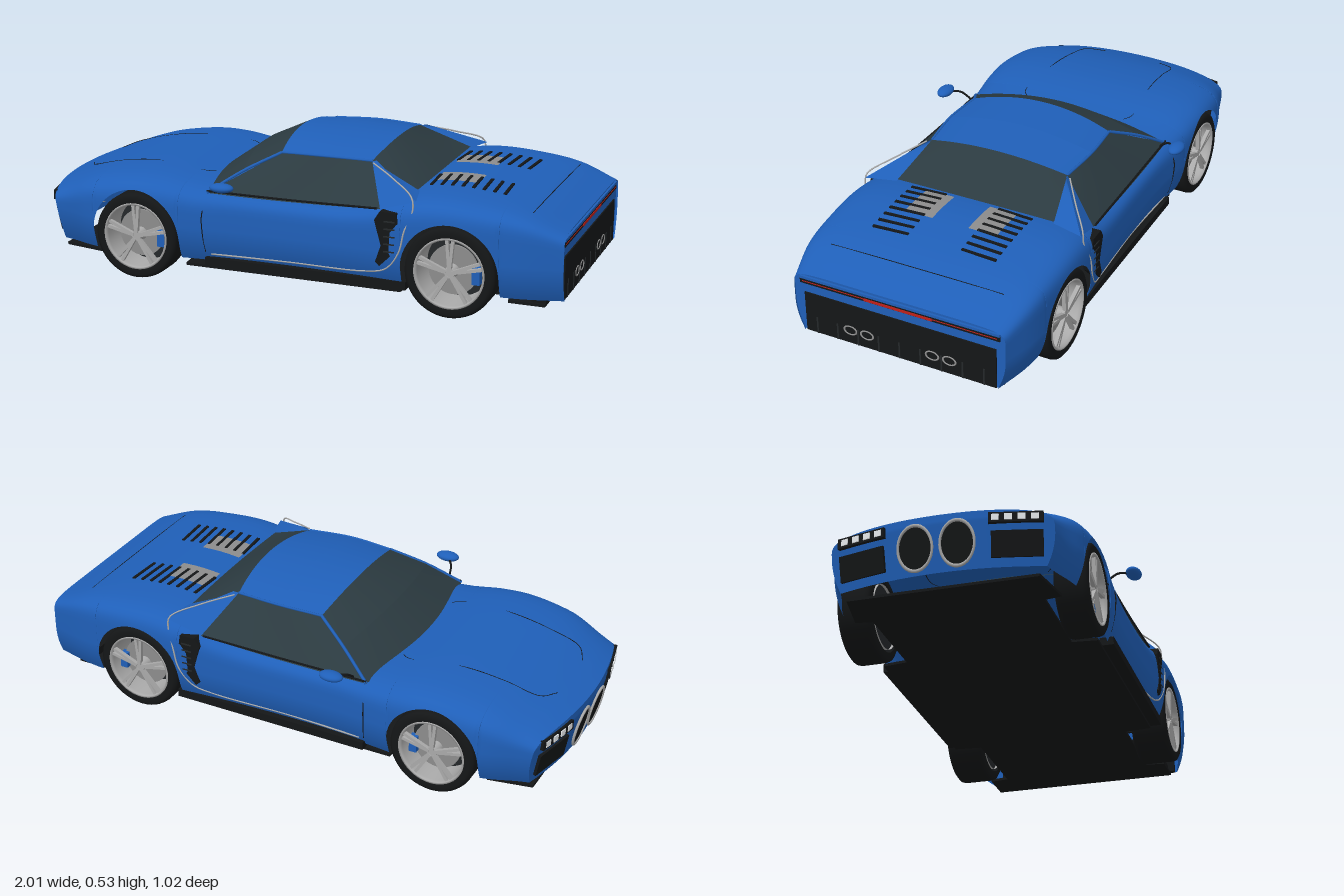
import * as THREE from 'three';

const mat = (color) => new THREE.MeshStandardMaterial({ color, side: THREE.DoubleSide });
const M = {
  paint: mat(0x1f5fb8), glass: mat(0x2b3a40), black: mat(0x141617), dark: mat(0x24282a),
  rim: mat(0x8c8c8c), silver: mat(0xaaaaaa), light: mat(0xe4e8ea), red: mat(0xc02018),
};
const V = (x, y, z) => new THREE.Vector3(x, y, z);

// Body stations along x: half width, top height, squareness of the cross-section
const XS = [-1, -0.94, -0.8, -0.6, -0.48, -0.35, -0.2, 0, 0.2, 0.32, 0.42, 0.55, 0.7, 0.86, 1];
const VALS = [
  0.385, 0.29, 4, 0.397, 0.315, 4, 0.43, 0.36, 4.5, 0.452, 0.39, 5, 0.449, 0.388, 5,
  0.437, 0.37, 5, 0.426, 0.358, 6, 0.424, 0.356, 6, 0.43, 0.36, 6, 0.437, 0.377, 6,
  0.445, 0.405, 6, 0.45, 0.42, 6.5, 0.447, 0.412, 7, 0.435, 0.385, 8, 0.402, 0.332, 9,
];
const spline = new THREE.CubicInterpolant(XS, VALS, 3, new Float32Array(3));
const WAIST = 0.22;
function station(x) {
  const [w, top, n] = spline.evaluate(x);
  return { w, n, h: top - WAIST };
}
const root = (q, n) => Math.pow(Math.max(0, 1 - Math.pow(Math.abs(q), n)), 1 / n);
function topY(x, z) {
  const s = station(x);
  return WAIST + s.h * root(z / s.w, s.n);
}
function sideZ(x, y) {
  const s = station(x);
  return y > WAIST ? s.w * root((y - WAIST) / s.h, s.n) : s.w - 0.02 * ((WAIST - y) / 0.1) ** 2;
}
// Nose swept back towards the corners and raked back below
const RAKE = 0.2;
const sweep = (x, y, z) =>
  (0.42 * z * z + RAKE * Math.max(0, 0.26 - y)) * THREE.MathUtils.clamp((-0.76 - x) / 0.24, 0, 1);

// Wheels and the arches around them
const AXLES = [
  { x: -0.58, r: 0.16, arch: 0.172, width: 0.12, name: 'front' },
  { x: 0.61, r: 0.163, arch: 0.175, width: 0.14, name: 'rear' },
];
function lowerEdge(x) {
  for (const a of AXLES) {
    const d = Math.abs(x - a.x);
    if (d <= a.arch) return 0.165 + Math.sqrt(a.arch ** 2 - d * d);
  }
  return 0.095;
}
// Half cross-section point, t from 0 (lower edge) to 1 (centre line)
function section(x, t) {
  const { w, h, n } = station(x), yb = lowerEdge(x);
  const a0 = yb < WAIST ? (yb - WAIST) / 0.1 : Math.asin(Math.pow((yb - WAIST) / h, n / 2));
  const a = a0 + (Math.PI / 2 - a0) * t;
  if (a < 0) return [WAIST + a * 0.1, w - 0.02 * a * a];
  return [WAIST + h * Math.pow(Math.sin(a), 2 / n), w * Math.pow(Math.max(0, Math.cos(a)), 2 / n)];
}

// Surface from a rule fn(i, j) over a grid
function grid(nu, nv, fn) {
  const pos = [], idx = [];
  for (let i = 0; i <= nu; i++) for (let j = 0; j <= nv; j++) {
    pos.push(...fn(i, j));
    if (i < nu && j < nv) {
      const a = i * (nv + 1) + j, b = a + nv + 1;
      idx.push(a, b, a + 1, b, b + 1, a + 1);
    }
  }
  const g = new THREE.BufferGeometry();
  g.setAttribute('position', new THREE.Float32BufferAttribute(pos, 3));
  g.setIndex(idx);
  g.computeVertexNormals();
  return g;
}
// Curve through three points, and the surface ruled between two such curves
function arc(p, m, q) {
  return new THREE.QuadraticBezierCurve3(p, m.clone().multiplyScalar(2).addScaledVector(p, -0.5).addScaledVector(q, -0.5), q);
}
const across = (x, y, z, xMid, yMid) => arc(V(x, y, z), V(xMid, yMid, 0), V(x, y, -z));
const ruled = (a, b) => grid(8, 20, (i, j) => a.getPoint(j / 20).lerp(b.getPoint(j / 20), i / 8).toArray());
const tube = (pts, r) => new THREE.TubeGeometry(new THREE.CatmullRomCurve3(pts), pts.length * 8, r, 6);

function buildWheel(a) {
  const g = new THREE.Group(), half = a.width / 2, R = a.r, rr = R * 0.78;
  const add = (name, geo, m) => { const o = new THREE.Mesh(geo, m); o.name = name; g.add(o); return o; };
  const lathe = (pts) => new THREE.LatheGeometry(pts.map((p) => new THREE.Vector2(...p)), 48).rotateX(Math.PI / 2);
  add('tyre', lathe([[rr, -half], [R - 0.015, -half], [R - 0.003, -half + 0.008], [R, -half + 0.02],
    [R, half - 0.02], [R - 0.003, half - 0.008], [R - 0.015, half], [rr, half - 0.004]]), M.black);
  add('rim', lathe([[rr - 0.01, -half], [rr - 0.01, half - 0.015], [rr - 0.007, half - 0.002], [rr, half - 0.002], [rr, half - 0.01]]), M.silver);
  add('wheelBack', new THREE.CircleGeometry(rr, 40).translate(0, 0, -half + 0.01), M.dark);
  add('brakeDisc', new THREE.CylinderGeometry(rr * 0.7, rr * 0.7, 0.01, 40).rotateX(Math.PI / 2).translate(0, 0, half - 0.06), M.rim);
  add('hub', new THREE.CylinderGeometry(0.018, 0.024, 0.04, 24).rotateX(Math.PI / 2).translate(0, 0, half - 0.03), M.silver);
  add('caliper', new THREE.BoxGeometry(0.028, 0.06, 0.03).translate(rr * 0.68, -0.01, half - 0.05), M.paint);
  for (let k = 0; k < 5; k++) for (const s of [-1, 1]) {
    const spoke = add('spoke', new THREE.BoxGeometry(0.011, rr - 0.02, 0.014).translate(0, rr / 2 + 0.002, 0), M.silver);
    spoke.position.z = half - 0.014;
    spoke.rotation.z = (k * 2 * Math.PI) / 5 + s * 0.09;
  }
  return g;
}

export function createModel() {
  const car = new THREE.Group();
  car.name = 'sportsCar';
  const add = (name, geo, m, parent = car) => { const o = new THREE.Mesh(geo, m); o.name = name; parent.add(o); return o; };
  const box = (name, x, y, z, sx, sy, sz, m) => {
    const o = add(name, new THREE.BoxGeometry(sx, sy, sz), m);
    o.position.set(x, y, z);
    return o;
  };

  // Body shell, with stations gathered at the wheel arches
  const xs = [], span = (a, b, n) => { for (let i = 0; i <= n; i++) xs.push(a + ((b - a) * i) / n); };
  let from = -1;
  for (const a of AXLES) {
    span(from, a.x - a.arch - 0.0005, 18);
    for (let i = 0; i <= 28; i++) xs.push(a.x - a.arch * 0.9999 * Math.cos((Math.PI * i) / 28));
    from = a.x + a.arch + 0.0005;
  }
  span(from, 1, 14);
  const N = 28;
  add('bodyShell', grid(xs.length - 1, 2 * N, (i, j) => {
    const [y, z] = section(xs[i], j <= N ? j / N : 2 - j / N);
    return [xs[i] + sweep(xs[i], y, z), y, j <= N ? z : -z];
  }), M.paint);
  for (const [name, x] of [['nosePanel', -1], ['tailPanel', 0.992]])
    add(name, grid(N, 16, (i, j) => {
      const [y, z] = section(x, i / N), zz = z * (1 - j / 8);
      return [x + sweep(x, y, zz), y, zz];
    }), M.paint);

  // Floor, narrowed at the wheels
  const floor = new THREE.Shape();
  const edge = [[-0.92, 0.33], [-0.76, 0.36], [-0.75, 0.3], [-0.41, 0.3], [-0.4, 0.39], [0.42, 0.39], [0.43, 0.29], [0.79, 0.29], [0.8, 0.36], [0.93, 0.36]];
  [...edge, ...edge.map(([x, z]) => [x, -z]).reverse()].forEach(([x, z], i) => (i ? floor.lineTo(x, z) : floor.moveTo(x, z)));
  add('floor', new THREE.ExtrudeGeometry(floor, { depth: 0.01, bevelEnabled: false }).rotateX(Math.PI / 2).translate(0, 0.07, 0), M.black);

  // Cabin
  const screenBase = across(-0.31, 0.345, 0.4, -0.37, 0.365);
  const screenMid = across(-0.19, 0.427, 0.338, -0.235, 0.461);
  const roofFront = across(-0.07, 0.487, 0.275, -0.09, 0.53);
  const roofMid = across(0.1, 0.492, 0.285, 0.1, 0.532);
  const roofRear = across(0.27, 0.488, 0.27, 0.29, 0.526);
  const rearBase = across(0.45, 0.41, 0.32, 0.455, 0.415);
  add('windscreenLower', ruled(screenBase, screenMid), M.glass);
  add('windscreenUpper', ruled(screenMid, roofFront), M.glass);
  add('roofFront', ruled(roofFront, roofMid), M.paint);
  add('roofRear', ruled(roofMid, roofRear), M.paint);
  add('rearWindow', ruled(roofRear, rearBase), M.glass);

  for (const s of [1, -1]) {
    const half = new THREE.Group();
    half.name = s > 0 ? 'leftSide' : 'rightSide';
    half.scale.z = s;
    car.add(half);
    const part = (name, geo, m) => add(name, geo, m, half);
    const onSide = (pts) => pts.map(([x, y]) => V(x, y, sideZ(x, y)));
    const onTop = (pts) => pts.map(([x, z]) => V(x, topY(x, z), z));

    // Side window and pillars
    const front = V(-0.07, 0.487, 0.275), corner = V(0.27, 0.488, 0.27);
    const shoulder = V(0.29, 0.492, 0.275), haunch = V(0.485, 0.405, 0.425);
    const line = (p, q) => new THREE.LineCurve3(p, q);
    part('sideWindow', ruled(arc(front, V(0.1, 0.492, 0.285), corner),
      arc(V(-0.31, 0.345, 0.4), V(0.02, 0.348, 0.408), V(0.35, 0.36, 0.41))), M.glass);
    part('windscreenPillar', tube([V(-0.31, 0.346, 0.4), V(-0.19, 0.425, 0.338), front], 0.006), M.paint);
    part('roofRail', tube([front, V(0.1, 0.492, 0.285), corner], 0.005), M.paint);
    part('rearPillar', ruled(line(corner, V(0.35, 0.36, 0.41)), line(shoulder, haunch)), M.paint);
    part('buttress', ruled(line(shoulder, haunch), line(corner, V(0.46, 0.41, 0.31))), M.paint);

    // Side trim, intake, sill and door seams
    part('sideTrim', tube([V(0.28, 0.485, 0.285), V(0.38, 0.455, 0.355), V(0.47, 0.415, 0.425),
      ...onSide([[0.475, 0.37], [0.45, 0.3], [0.43, 0.22], [0.38, 0.155], [0.3, 0.133], [0, 0.125], [-0.29, 0.122]])], 0.003), M.silver);
    const intake = new THREE.Shape();
    [[0.34, 0.33], [0.36, 0.362], [0.42, 0.36], [0.43, 0.3], [0.415, 0.22], [0.36, 0.165], [0.345, 0.18], [0.365, 0.24]]
      .forEach(([x, y], i) => (i ? intake.lineTo(x, y) : intake.moveTo(x, y)));
    part('sideIntake', new THREE.ExtrudeGeometry(intake, { depth: 0.038, bevelEnabled: false }).translate(0, 0, 0.405), M.black);
    for (let k = 0; k < 5; k++)
      part('intakeSlat', new THREE.BoxGeometry(0.04, 0.005, 0.004).translate(0.395, 0.22 + k * 0.027, 0.443), M.dark);
    part('sill', new THREE.BoxGeometry(0.76, 0.03, 0.05).translate(0.07, 0.096, 0.4), M.black);
    part('beltSeam', tube([V(-0.31, 0.352, 0.399), V(0.02, 0.354, 0.404), V(0.34, 0.362, 0.412)], 0.004), M.black);
    part('doorSeam', tube(onSide([[-0.31, 0.13], [-0.315, 0.2], [-0.315, 0.28], [-0.3, 0.345]]), 0.002), M.black);
    part('bonnetSeam', tube(onTop([[-0.91, 0.12], [-0.87, 0.185], [-0.75, 0.198], [-0.6, 0.208], [-0.39, 0.225], [-0.36, 0.205]]), 0.0013), M.black);

    // Mirror
    part('mirror', new THREE.SphereGeometry(1, 24, 16).scale(0.045, 0.017, 0.028).translate(-0.215, 0.395, 0.482), M.paint);
    part('mirrorArm', tube([V(-0.26, 0.36, 0.4), V(-0.25, 0.385, 0.435), V(-0.22, 0.393, 0.475)], 0.004), M.black);

    // Engine cover louvres
    part('louvrePlate', grid(6, 4, (i, j) => {
      const x = 0.47 + i * 0.0265, z = 0.07 + j * 0.027;
      return [x, topY(x, z) + 0.002, z];
    }), M.rim);
    for (let k = 0; k < 8; k++) {
      const x = 0.475 + k * 0.038;
      const louvre = part('louvre', new THREE.BoxGeometry(0.011, 0.008, 0.135), M.black);
      louvre.position.set(x, topY(x, 0.17), 0.17);
      louvre.rotation.y = 0.06;
    }

    // Nose: headlamp, intake and grille, following the sweep and rake
    const onNose = (name, y, z, sy, sz, m, out = 0) => {
      const o = part(name, new THREE.BoxGeometry(0.016, sy, sz), m);
      o.position.set(-1 + sweep(-1, y, z) - out, y, z);
      o.rotation.set(0, Math.atan(0.84 * z), y < 0.24 ? Math.atan(RAKE) : 0);
    };
    onNose('headlamp', 0.257, 0.265, 0.036, 0.18, M.black);
    for (let k = 0; k < 4; k++) onNose('lampCell', 0.257, 0.2 + k * 0.042, 0.022, 0.025, M.light, 0.004);
    onNose('noseIntake', 0.17, 0.265, 0.09, 0.17, M.black);
    const ring = (name, geo, m) => part(name, geo.rotateY(-Math.PI / 2).scale(1, 1.25, 0.95)
      .rotateZ(Math.atan(RAKE)).translate(-0.988, 0.185, 0.072), m);
    ring('grille', new THREE.CircleGeometry(0.062, 32), M.black);
    ring('grilleRing', new THREE.TorusGeometry(0.062, 0.005, 8, 32), M.silver);

    // Exhausts
    for (const z of [0.125, 0.19])
      part('exhaust', new THREE.TorusGeometry(0.024, 0.004, 8, 28).rotateY(Math.PI / 2).scale(1, 0.68, 1).translate(0.996, 0.147, z), M.rim);
    for (const a of AXLES) {
      const w = buildWheel(a);
      w.name = a.name + 'Wheel';
      w.position.set(a.x, a.r + 0.002, 0.442 - a.width / 2);
      half.add(w);
    }
  }

  // Tail: dark grille, lamp strip and diffuser
  box('tailGrille', 0.986, 0.173, 0, 0.022, 0.156, 0.73, M.black);
  box('lampStrip', 0.989, 0.297, 0, 0.018, 0.018, 0.76, M.black);
  box('tailLamp', 0.991, 0.297, 0, 0.016, 0.003, 0.74, M.red);
  box('brakeLamp', 0.992, 0.295, 0, 0.016, 0.01, 0.26, M.red);
  box('tailLip', 0.988, 0.312, 0, 0.024, 0.01, 0.76, M.paint);
  box('diffuser', 0.905, 0.08, 0, 0.05, 0.04, 0.7, M.black);
  for (let k = -4; k <= 4; k++) box('diffuserFin', 0.985, 0.127, k * 0.08, 0.028, 0.064, 0.006, M.dark);
  // Spoiler seam
  add('spoilerSeam', tube([-0.33, -0.15, 0, 0.15, 0.33].map((z) => V(0.87, topY(0.87, z), z)), 0.0015), M.black);
  return car;
}
